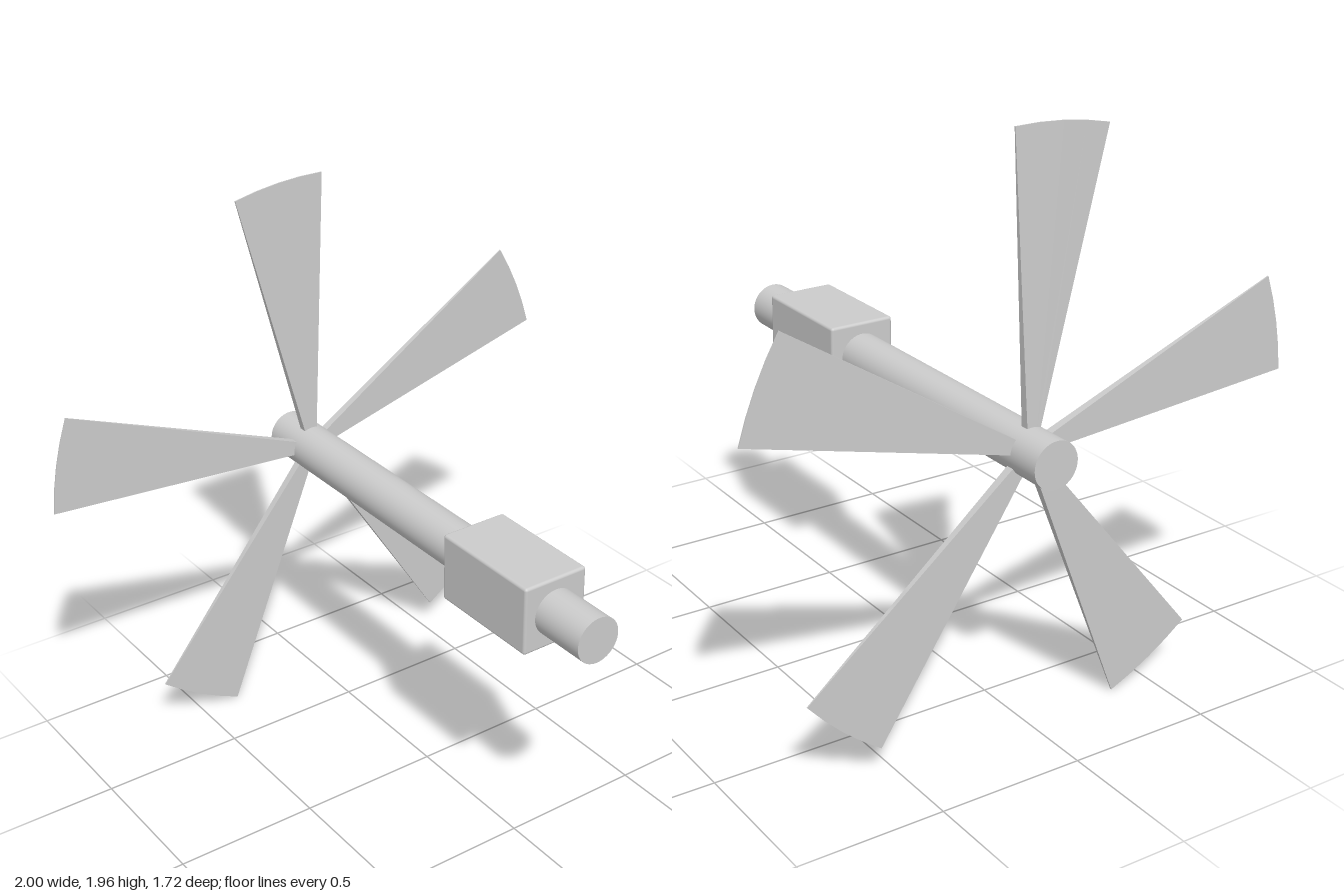
import * as THREE from 'three';
import { RoundedBoxGeometry } from 'three/addons/geometries/RoundedBoxGeometry.js';

const AXIS_X = 0.01, AXIS_Y = 0.95;
const BLADES = 5, ROOT = 0.05, TIP = 1.0;

// Blade along +x: widens towards a rounded tip while its thickness thins out
function bladeGeometry() {
  const geo = new THREE.BoxGeometry(1, 1, 1, 1, 4, 1);
  const p = geo.attributes.position;
  for (let i = 0; i < p.count; i++) {
    const t = p.getX(i) + 0.5;
    const across = p.getY(i) * 2;
    const halfWidth = THREE.MathUtils.lerp(0.021, 0.171, t);
    const halfDepth = THREE.MathUtils.lerp(0.015, 0.002, t);
    const bulge = 0.012 * t * (1 - across * across);
    p.setXYZ(i,
      THREE.MathUtils.lerp(ROOT, TIP, t) + bulge,
      across * halfWidth,
      Math.sign(p.getZ(i)) * halfDepth);
  }
  geo.computeVertexNormals();
  return geo;
}

export function createModel() {
  const model = new THREE.Group();
  model.name = 'propellerShaft';
  const smooth = new THREE.MeshStandardMaterial({ color: 0xcccccc });
  const flat = new THREE.MeshStandardMaterial({ color: 0xcccccc, flatShading: true });

  // Long drive shaft along z
  const shaft = new THREE.Mesh(new THREE.CylinderGeometry(0.08, 0.08, 1.72, 48), smooth);
  shaft.name = 'shaft';
  shaft.rotation.x = Math.PI / 2;
  shaft.position.set(AXIS_X, AXIS_Y, 0);
  model.add(shaft);

  // Gearbox block with slightly softened edges
  const housing = new THREE.Mesh(new RoundedBoxGeometry(0.24, 0.24, 0.42, 3, 0.01), smooth);
  housing.name = 'housing';
  housing.position.set(AXIS_X, AXIS_Y, 0.447);
  model.add(housing);

  // Ring of blades near the back end
  const rotor = new THREE.Group();
  rotor.name = 'rotor';
  rotor.position.set(AXIS_X, AXIS_Y, -0.722);
  const geo = bladeGeometry();
  for (let i = 0; i < BLADES; i++) {
    const blade = new THREE.Mesh(geo, flat);
    blade.name = `blade${i + 1}`;
    blade.rotation.z = THREE.MathUtils.degToRad(23.3) + (i * Math.PI * 2) / BLADES;
    rotor.add(blade);
  }
  model.add(rotor);
  return model;
}
